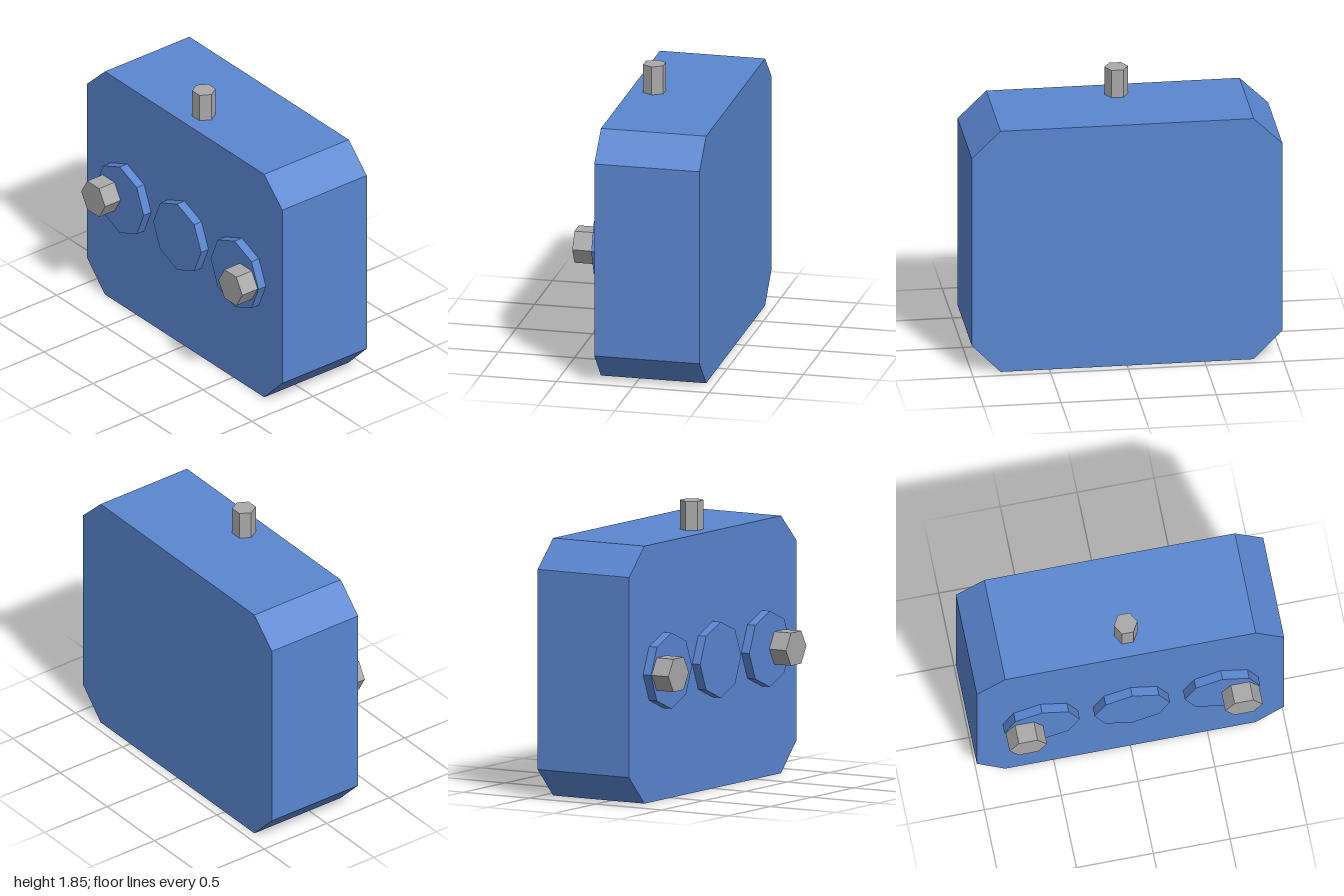
import * as THREE from 'three';

const blue = new THREE.MeshStandardMaterial({ color: 0x5a86d0 });
blue.name = 'blue';
const grey = new THREE.MeshStandardMaterial({ color: 0xa9a9a9 });
grey.name = 'grey';

// Flat-sided prism along y, with a corner pointing to +x
function prism(radius, length, sides) {
  const geometry = new THREE.CylinderGeometry(radius, radius, length, sides, 1, false, Math.PI / 2);
  const flat = geometry.toNonIndexed();
  flat.computeVertexNormals();
  return flat;
}

export function createModel() {
  const model = new THREE.Group();
  model.name = 'knobBox';

  const add = (name, geometry, material, x, y, z) => {
    const mesh = new THREE.Mesh(geometry, material);
    mesh.name = name;
    mesh.position.set(x, y, z);
    model.add(mesh);
  };

  // Housing: block with four chamfered corners
  const outline = new THREE.Shape([
    [-0.815, 0], [0.815, 0], [1, 0.19], [1, 1.48],
    [0.815, 1.66], [-0.815, 1.66], [-1, 1.48], [-1, 0.19],
  ].map(([x, y]) => new THREE.Vector2(x, y)));
  add('housing', new THREE.ExtrudeGeometry(outline, { depth: 0.69, bevelEnabled: false }),
    blue, 0, 0, -0.438);

  // Three octagonal discs on the front
  const disc = prism(0.245, 0.06, 8).rotateX(Math.PI / 2);
  ['rightDisc', 'middleDisc', 'leftDisc'].forEach((name, i) =>
    add(name, disc, blue, (i - 1) * 0.587, 0.833, 0.282));

  // Hexagonal pegs set off-centre on the outer discs
  const peg = prism(0.122, 0.126, 6).rotateX(Math.PI / 2);
  for (const side of [-1, 1]) {
    add(side < 0 ? 'rightPeg' : 'leftPeg', peg, grey, side * 0.702, 0.833, 0.375);
  }

  // Hexagonal shaft on top
  add('topShaft', prism(0.076, 0.188, 6), grey, 0, 1.754, 0.094);

  return model;
}
